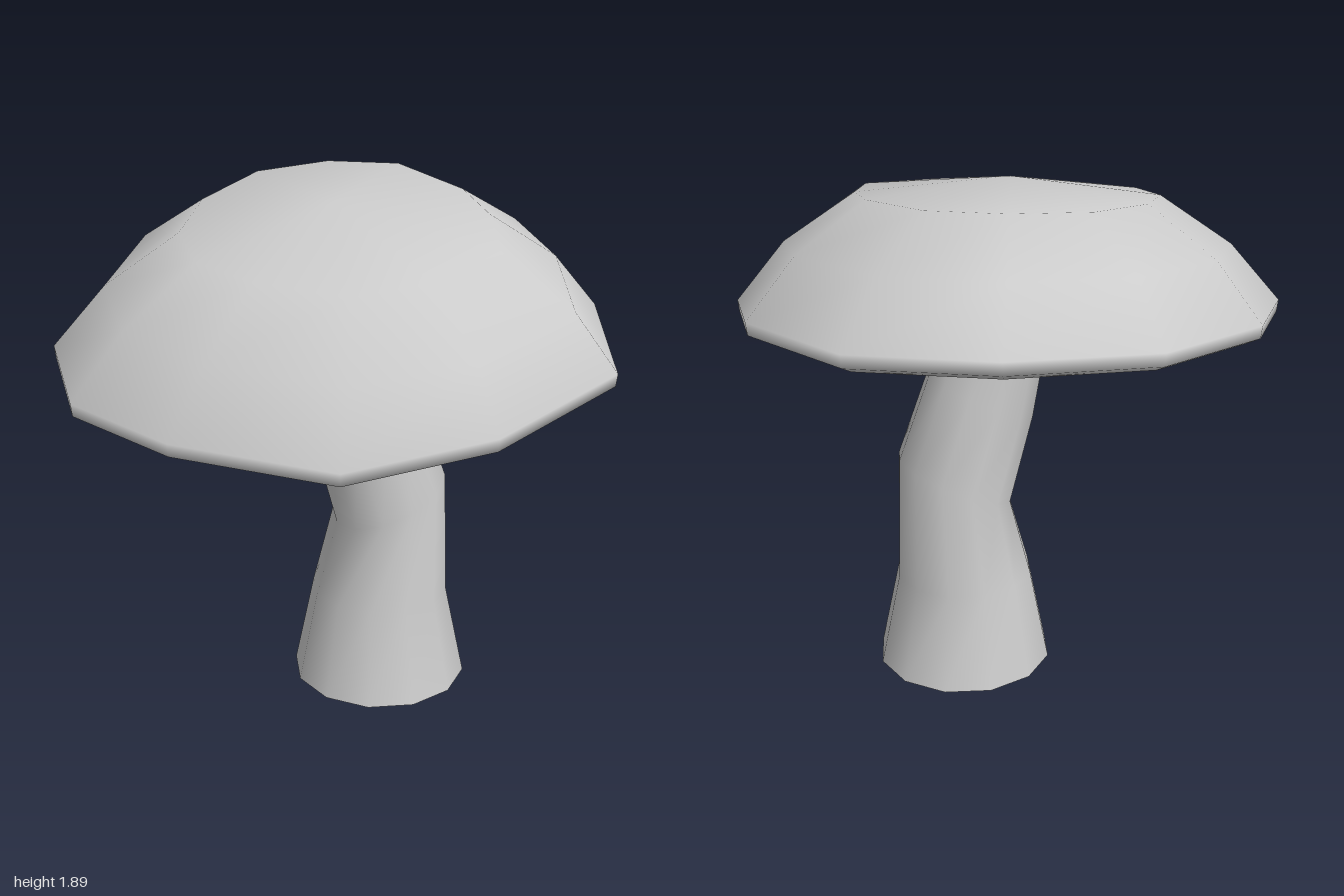
import * as THREE from 'three';
import { mergeVertices } from 'three/addons/utils/BufferGeometryUtils.js';

// Skins a stack of equal-length point rings, listed bottom to top, with smooth normals.
function loft(rings) {
  const n = rings[0].length;
  const index = [];
  const same = (ring) => ring[0].distanceTo(ring[1]) < 1e-6;
  for (let i = 0; i < rings.length - 1; i++) {
    for (let j = 0; j < n; j++) {
      const k = (j + 1) % n;
      const a = i * n + j, b = i * n + k, c = a + n, d = b + n;
      if (!same(rings[i + 1])) index.push(b, c, d);
      if (!same(rings[i])) index.push(a, c, b);
      else index.push(a, c, d).valueOf, index.splice(-6, 6, a, c, d);
    }
  }
  const geometry = new THREE.BufferGeometry().setFromPoints(rings.flat());
  geometry.setIndex(index);
  const merged = mergeVertices(geometry, 1e-5);
  merged.computeVertexNormals();
  return merged;
}

// Irregular twelve-sided cap outline [x, z]
const outline = [
  [-0.15, -0.98], [0.37, -0.98], [0.8, -0.76], [0.99, -0.2], [0.95, 0.23], [0.74, 0.74],
  [0.18, 0.97], [-0.35, 0.97], [-0.78, 0.6], [-1, 0.23], [-0.96, -0.21], [-0.65, -0.66],
];

// Cap levels: [x scale, z scale, z shift, height above the tilted rim plane]
const capLevels = [
  [0, 0, 0, -0.04],
  [0.95, 0.95, 0, -0.04],
  [0.995, 0.995, 0, -0.02],
  [1, 1, 0, 0.025],
  [0.815, 0.865, 0.03, 0.235],
  [0.55, 0.61, 0.05, 0.41],
  [0, 0, 0.03, 0.475],
];

// Stem levels: [centre x, centre y, radius x, radius z, rise per unit x]
const stemLevels = [
  [0.19, 0, 0.333, 0.333, 0],
  [0.187, 0.36, 0.258, 0.258, 0],
  [0.22, 0.745, 0.21, 0.225, 0.45],
  [0.115, 1.07, 0.195, 0.207, 0.46],
  [0.055, 1.39, 0.205, 0.205, 0.1],
];

export function createModel() {
  const group = new THREE.Group();
  const material = new THREE.MeshStandardMaterial({ color: 0xcccccc });

  // Tilted cap with a thin rim and flat underside
  const cap = new THREE.Mesh(loft(capLevels.map(([sx, sz, dz, h]) =>
    outline.map(([x, z]) => {
      const px = x * sx, pz = z * sz + dz;
      return new THREE.Vector3(px, 1.4 + 0.063 * px - 0.125 * pz + h, pz);
    }))), material);
  cap.name = 'cap';

  // Bent stem, open at the foot
  const sides = 12;
  const stem = new THREE.Mesh(loft(stemLevels.map(([cx, cy, rx, rz, tilt]) =>
    Array.from({ length: sides }, (_, j) => {
      const a = (j / sides) * Math.PI * 2;
      const dx = rx * Math.cos(a);
      return new THREE.Vector3(cx + dx, cy + tilt * dx, 0.04 + rz * Math.sin(a));
    }))), new THREE.MeshStandardMaterial({ color: 0xcccccc, side: THREE.DoubleSide }));
  stem.name = 'stem';

  group.add(cap, stem);
  return group;
}
